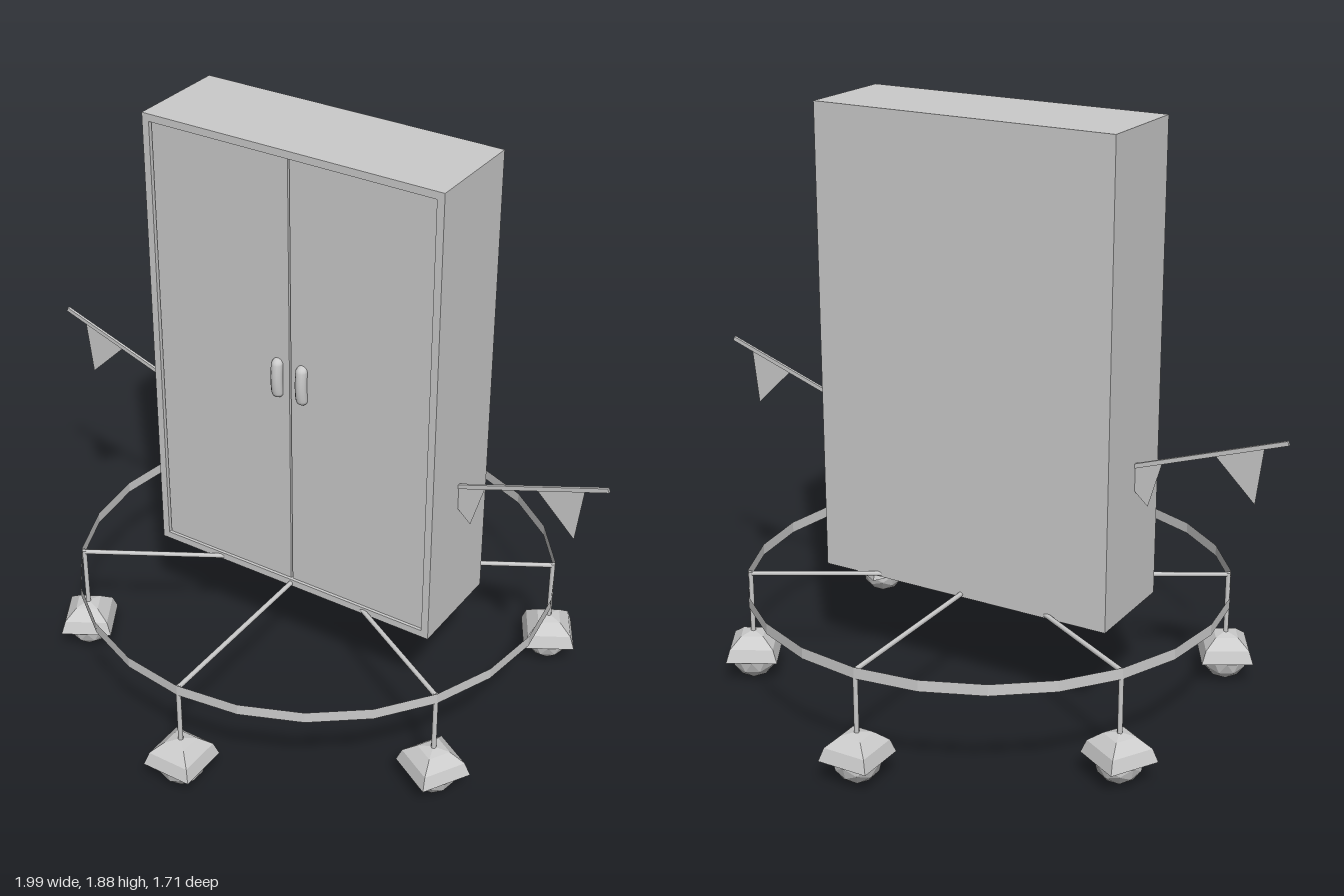
import * as THREE from 'three';

const grey = new THREE.MeshStandardMaterial({ color: 0xcccccc });
const faceted = new THREE.MeshStandardMaterial({ color: 0xcccccc, flatShading: true });
const thin = new THREE.MeshStandardMaterial({ color: 0xcccccc, flatShading: true, side: THREE.DoubleSide });

function add(parent, name, geometry, material, x = 0, y = 0, z = 0) {
  const mesh = new THREE.Mesh(geometry, material);
  mesh.name = name;
  mesh.position.set(x, y, z);
  parent.add(mesh);
  return mesh;
}

// Box given by its minimum and maximum corners
function addBox(parent, name, [x0, y0, z0], [x1, y1, z1]) {
  return add(parent, name, new THREE.BoxGeometry(x1 - x0, y1 - y0, z1 - z0), grey,
    (x0 + x1) / 2, (y0 + y1) / 2, (z0 + z1) / 2);
}

function createCabinet() {
  const g = new THREE.Group();
  g.name = 'cabinet';
  const W = 0.51, B = 0.355, T = 1.88, back = -0.18, front = 0.16, t = 0.024;
  addBox(g, 'backPanel', [-W, B, back], [W, T, back + 0.02]);
  addBox(g, 'topPanel', [-W, T - t, back + 0.02], [W, T, front]);
  addBox(g, 'bottomPanel', [-W, B, back + 0.02], [W, B + t, front]);
  for (const y of [0.755, 1.125, 1.5]) {
    addBox(g, 'shelf', [-W + t, y - 0.008, back + 0.02], [W - t, y + 0.008, 0.13]);
  }
  for (const s of [-1, 1]) {
    const xs = (a, b) => [Math.min(s * a, s * b), Math.max(s * a, s * b)];
    const [p0, p1] = xs(W - t, W);
    addBox(g, 'sidePanel', [p0, B + t, back + 0.02], [p1, T - t, front]);
    // Door, slightly recessed in the frame
    const [d0, d1] = xs(0.003, W - t - 0.004);
    addBox(g, 'door', [d0, B + t + 0.002, 0.13], [d1, T - t - 0.004, 0.152]);
    // Bowed handle with rounded ends
    const handle = new THREE.CapsuleGeometry(0.019, 0.098, 6, 12, 8);
    const p = handle.attributes.position;
    for (let i = 0; i < p.count; i++) {
      p.setZ(i, p.getZ(i) + 0.008 * (1 - (p.getY(i) / 0.068) ** 2));
    }
    handle.computeVertexNormals();
    add(g, 'handle', handle, grey, s * 0.044, 1.122, 0.152);
  }
  return g;
}

// Sloping pole with two hanging pennants, on the +x side
function createPennantArm(s) {
  const g = new THREE.Group();
  g.name = 'pennantArm';
  const a = new THREE.Vector2(0.43, 0.812), b = new THREE.Vector2(0.995, 1.004);
  const pole = add(g, 'pole', new THREE.BoxGeometry(a.distanceTo(b), 0.014, 0.009), grey,
    s * (a.x + b.x) / 2, (a.y + b.y) / 2, 0);
  pole.rotation.z = s * Math.atan2(b.y - a.y, b.x - a.x);
  const flags = [
    [[0.445, 0.815], [0.6, 0.867], [0.555, 0.715]],
    [[0.767, 0.923], [0.922, 0.975], [0.9, 0.793]],
  ];
  for (const pts of flags) {
    const shape = new THREE.Shape(pts.map(([x, y]) => new THREE.Vector2(s * x, y)));
    add(g, 'pennant', new THREE.ShapeGeometry(shape), thin);
  }
  return g;
}

// Spoke, leg, ball wheel and square domed cover, built along +z
function createCasterArm() {
  const g = new THREE.Group();
  g.name = 'casterArm';
  const R = 0.772;
  add(g, 'spoke', new THREE.CylinderGeometry(0.008, 0.008, R, 8).rotateX(Math.PI / 2), grey, 0, 0.364, R / 2);
  add(g, 'leg', new THREE.CylinderGeometry(0.008, 0.008, 0.22, 8), grey, 0, 0.26, R);
  add(g, 'ballWheel', new THREE.IcosahedronGeometry(0.076, 1), faceted, 0, 0.076, R);
  const profile = [[0.083, 0.08], [0.07, 0.122], [0.036, 0.154], [0, 0.163]]
    .map(([x, y]) => new THREE.Vector2(x * Math.SQRT2, y));
  add(g, 'wheelCover', new THREE.LatheGeometry(profile, 4, Math.PI / 4), thin, 0, 0, R);
  return g;
}

export function createModel() {
  const model = new THREE.Group();
  model.name = 'wheeledCabinet';
  model.add(createCabinet());
  for (const s of [-1, 1]) model.add(createPennantArm(s));

  // Thin open band around the base
  add(model, 'baseRing', new THREE.CylinderGeometry(0.78, 0.78, 0.037, 24, 1, true), thin, 0, 0.358, 0);

  for (let i = 0; i < 6; i++) {
    const arm = createCasterArm();
    arm.rotation.y = i * Math.PI / 3;
    model.add(arm);
  }
  return model;
}
